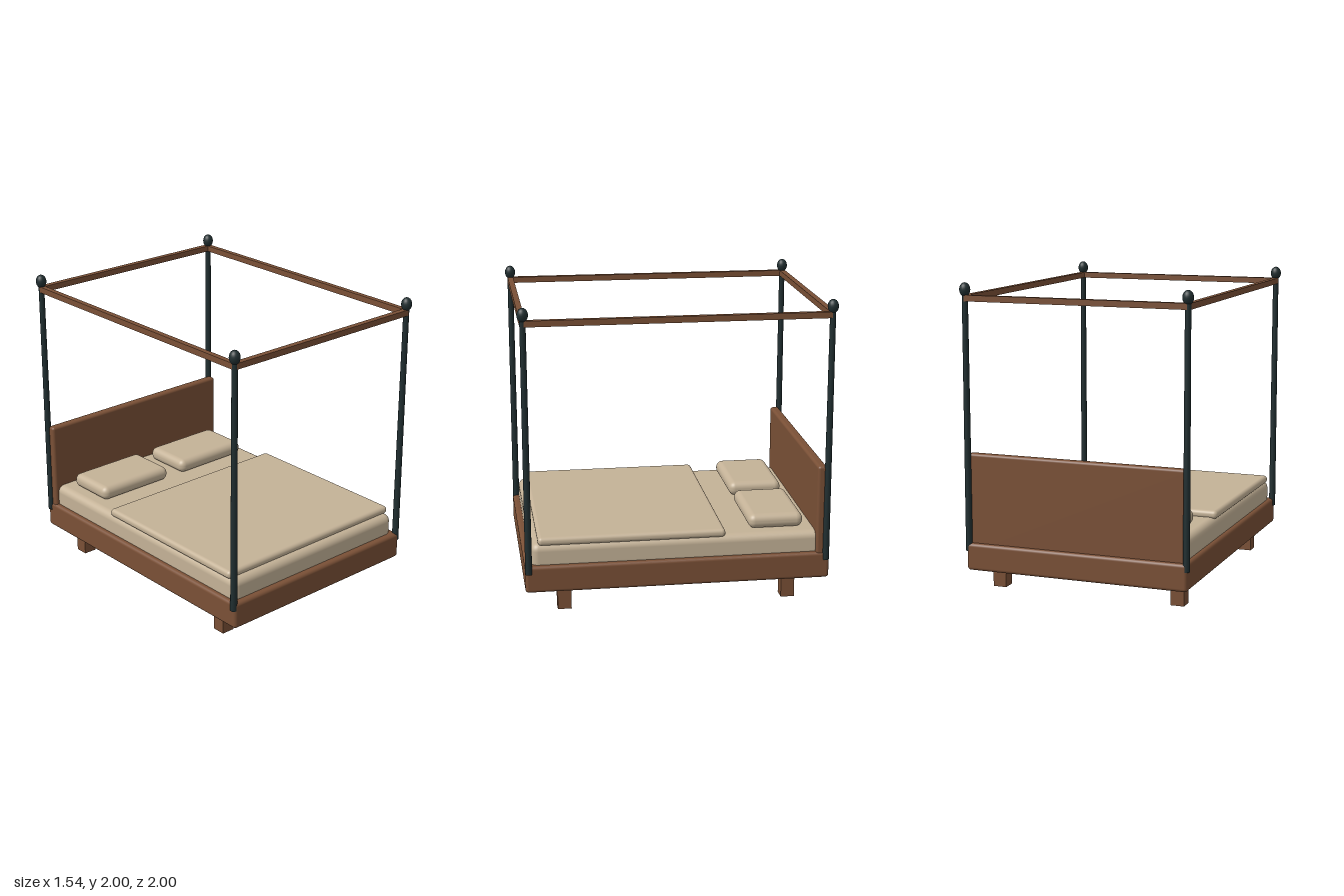
import * as THREE from 'three';
import { RoundedBoxGeometry } from 'three/addons/geometries/RoundedBoxGeometry.js';

export function createModel() {
  const model = new THREE.Group();
  model.name = 'canopyBed';

  const material = (name, color) => {
    const m = new THREE.MeshStandardMaterial({ color });
    m.name = name;
    return m;
  };
  const wood = material('brownWood', 0x7a5036);
  const linen = material('beigeLinen', 0xc4b297);
  const iron = material('darkIron', 0x202e30);

  const add = (name, geometry, mat, x, y, z) => {
    const mesh = new THREE.Mesh(geometry, mat);
    mesh.name = name;
    mesh.position.set(x, y, z);
    model.add(mesh);
    return mesh;
  };

  // Box given by its min and max on each axis, with optional rounded edges
  const box = (name, mat, [x0, x1], [y0, y1], [z0, z1], radius = 0) => {
    const size = [x1 - x0, y1 - y0, z1 - z0];
    const geometry = radius
      ? new RoundedBoxGeometry(...size, 4, radius)
      : new THREE.BoxGeometry(...size);
    return add(name, geometry, mat, (x0 + x1) / 2, (y0 + y1) / 2, (z0 + z1) / 2);
  };

  // Frame and headboard
  box('bedBase', wood, [-0.745, 0.745], [0.153, 0.33], [-0.988, 0.988], 0.022);
  box('headboard', wood, [-0.738, 0.738], [0.25, 0.912], [-0.96, -0.9], 0.018);

  // Bedding
  box('mattress', linen, [-0.715, 0.715], [0.29, 0.467], [-0.94, 0.947], 0.05);
  box('blanket', linen, [-0.717, 0.717], [0.455, 0.51], [-0.307, 0.902], 0.025);

  const postX = 0.735, postZ = 0.965;
  for (const sx of [-1, 1]) {
    // Pillow
    const pillow = new RoundedBoxGeometry(0.565, 0.096, 0.36, 5, 0.044);
    add('pillow', pillow, linen, sx * 0.343, 0.514, -0.657);

    for (const sz of [-1, 1]) {
      // Short square leg
      add('leg', new THREE.BoxGeometry(0.089, 0.16, 0.089), wood, sx * 0.613, 0.08, sz * 0.734);

      // Canopy post and its egg-shaped finial
      add('post', new THREE.CylinderGeometry(0.019, 0.022, 1.64, 16), iron, sx * postX, 1.1, sz * postZ);
      const finial = add('finial', new THREE.SphereGeometry(0.035, 20, 14), iron, sx * postX, 1.955, sz * postZ);
      finial.scale.y = 0.045 / 0.035;
    }
  }

  // Canopy rails
  for (const s of [-1, 1]) {
    add('sideRail', new THREE.BoxGeometry(0.036, 0.039, 2 * postZ), wood, s * postX, 1.902, 0);
    add('crossRail', new THREE.BoxGeometry(2 * postX, 0.039, 0.038), wood, 0, 1.902, s * postZ);
  }

  return model;
}
